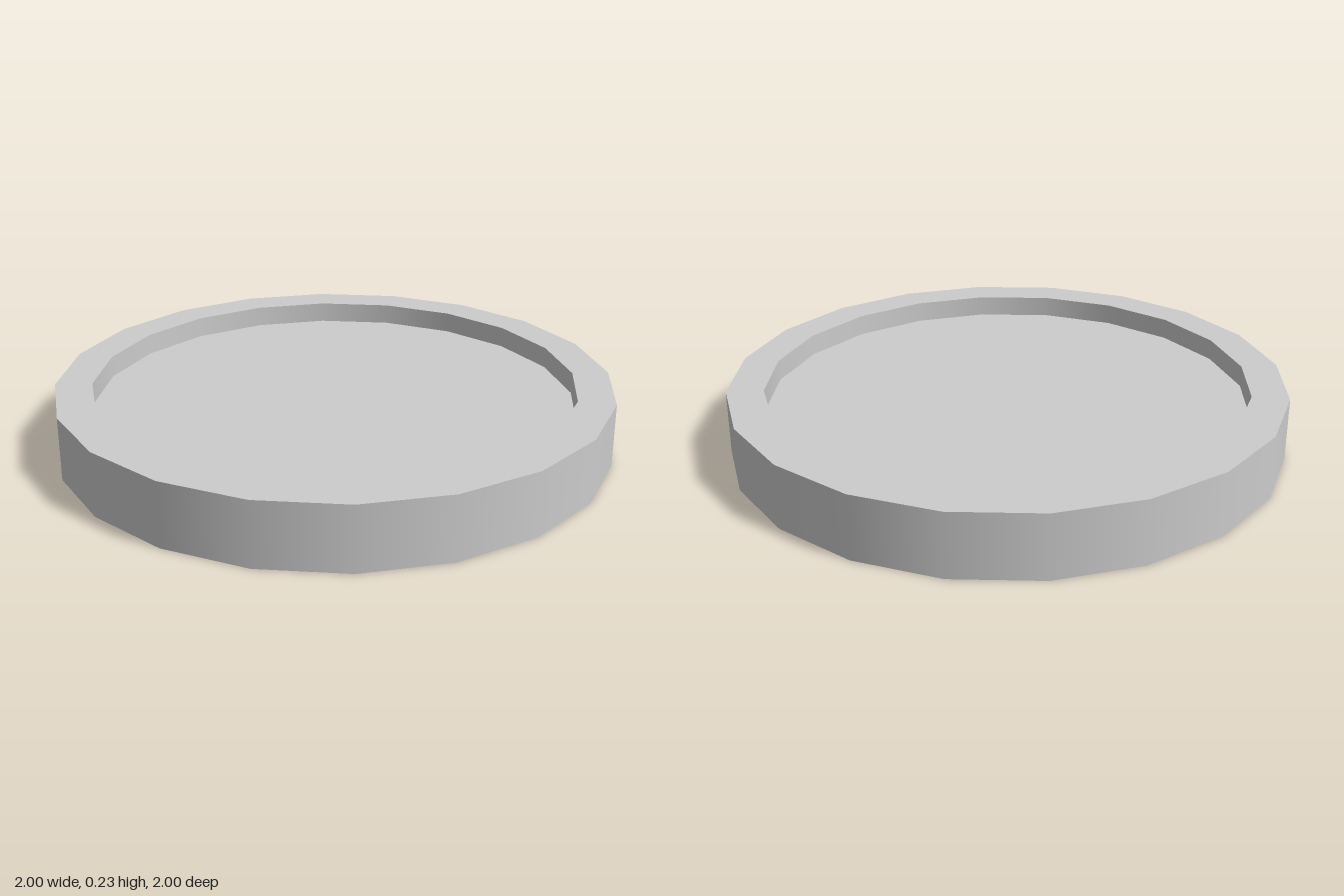
import * as THREE from 'three';
import { mergeGeometries } from 'three/addons/utils/BufferGeometryUtils.js';

const SIDES = 20;
const OUTER = 1, INNER = 0.868;
const HEIGHT = 0.23, PANEL_BOTTOM = 0.077, PANEL_TOP = 0.153;

// Revolve each profile segment on its own: smooth around, sharp between segments
function revolve(profile) {
  const bands = [];
  for (let i = 0; i < profile.length - 1; i++) {
    const pair = [profile[i], profile[i + 1]].map(([r, y]) => new THREE.Vector2(r, y));
    bands.push(new THREE.LatheGeometry(pair, SIDES));
  }
  return mergeGeometries(bands);
}

// Flat disc facing up or down
function disc(y, up) {
  const g = new THREE.CircleGeometry(INNER, SIDES);
  g.rotateX(up ? -Math.PI / 2 : Math.PI / 2);
  return g.translate(0, y, 0);
}

export function createModel() {
  const group = new THREE.Group();
  const material = new THREE.MeshStandardMaterial({ color: 0xcccccc });

  // Raised rim: lower inner wall, underside, outer wall, top face, upper inner wall
  const rim = new THREE.Mesh(revolve([
    [INNER, PANEL_BOTTOM], [INNER, 0], [OUTER, 0],
    [OUTER, HEIGHT], [INNER, HEIGHT], [INNER, PANEL_TOP],
  ]), material);
  rim.name = 'rim';

  // Panel recessed equally from above and below
  const panel = new THREE.Mesh(
    mergeGeometries([disc(PANEL_TOP, true), disc(PANEL_BOTTOM, false)]), material);
  panel.name = 'recessedPanel';

  group.add(rim, panel);
  return group;
}
